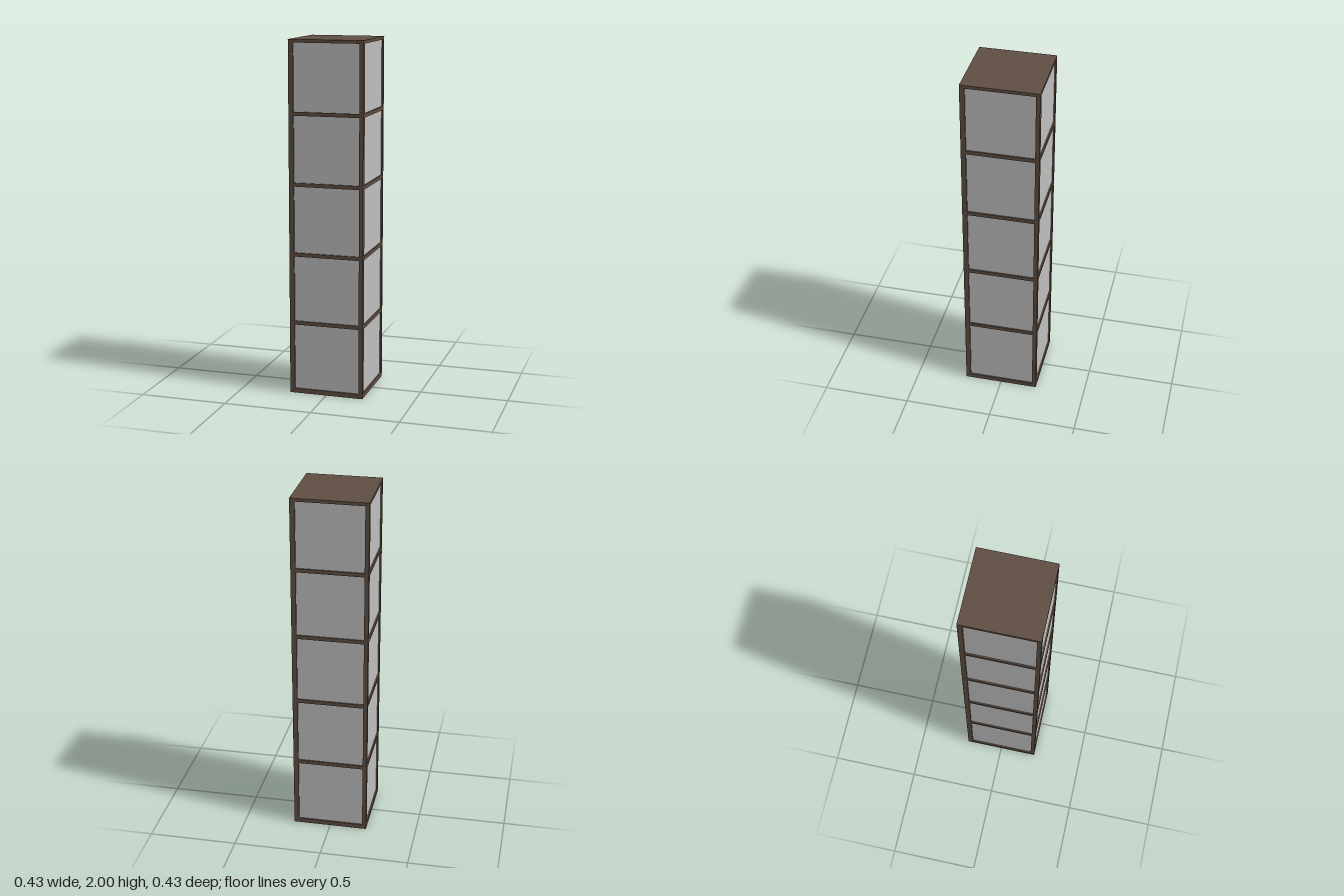
import * as THREE from 'three';

const HALF = 0.213, HEIGHT = 2, BAR = 0.021, WIDE = 0.028, NARROW = 0.023, PANEL = 0.205;

export function createModel() {
  const model = new THREE.Group();
  const wood = new THREE.MeshStandardMaterial({ color: 0x5f4e42 });
  wood.name = 'brown wood';
  const paper = new THREE.MeshStandardMaterial({ color: 0xbfbfbf });
  paper.name = 'pale paper';

  const box = (name, parent, material, w, h, d, x, y, z) => {
    const mesh = new THREE.Mesh(new THREE.BoxGeometry(w, h, d), material);
    mesh.name = name;
    mesh.position.set(x, y, z);
    parent.add(mesh);
  };

  // Solid end plates
  box('topPlate', model, wood, 2 * HALF, 0.018, 2 * HALF, 0, HEIGHT - 0.009, 0);
  box('bottomPlate', model, wood, 2 * HALF, 0.026, 2 * HALF, 0, 0.013, 0);

  // Four identical sides, each turned a quarter
  const barHeights = [0.413, 0.807, 1.203, 1.596];
  const postHeight = HEIGHT - 0.044, postY = 0.026 + postHeight / 2;
  const panelWidth = 2 * HALF - WIDE - NARROW;
  const panelX = (WIDE - NARROW) / 2;
  for (let i = 0; i < 4; i++) {
    const side = new THREE.Group();
    side.name = 'side' + (i + 1);
    side.rotation.y = i * Math.PI / 2;

    // Corner post
    box('cornerPost', side, wood, WIDE, postHeight, NARROW,
      -HALF + WIDE / 2, postY, HALF - NARROW / 2);
    // Cross bars
    for (const y of barHeights) {
      box('crossBar', side, wood, panelWidth, BAR, 0.02, panelX, y, HALF - 0.01);
    }
    // Slightly recessed paper panel
    box('paperPanel', side, paper, panelWidth, postHeight, 0.006, panelX, postY, PANEL - 0.003);
    model.add(side);
  }
  return model;
}
